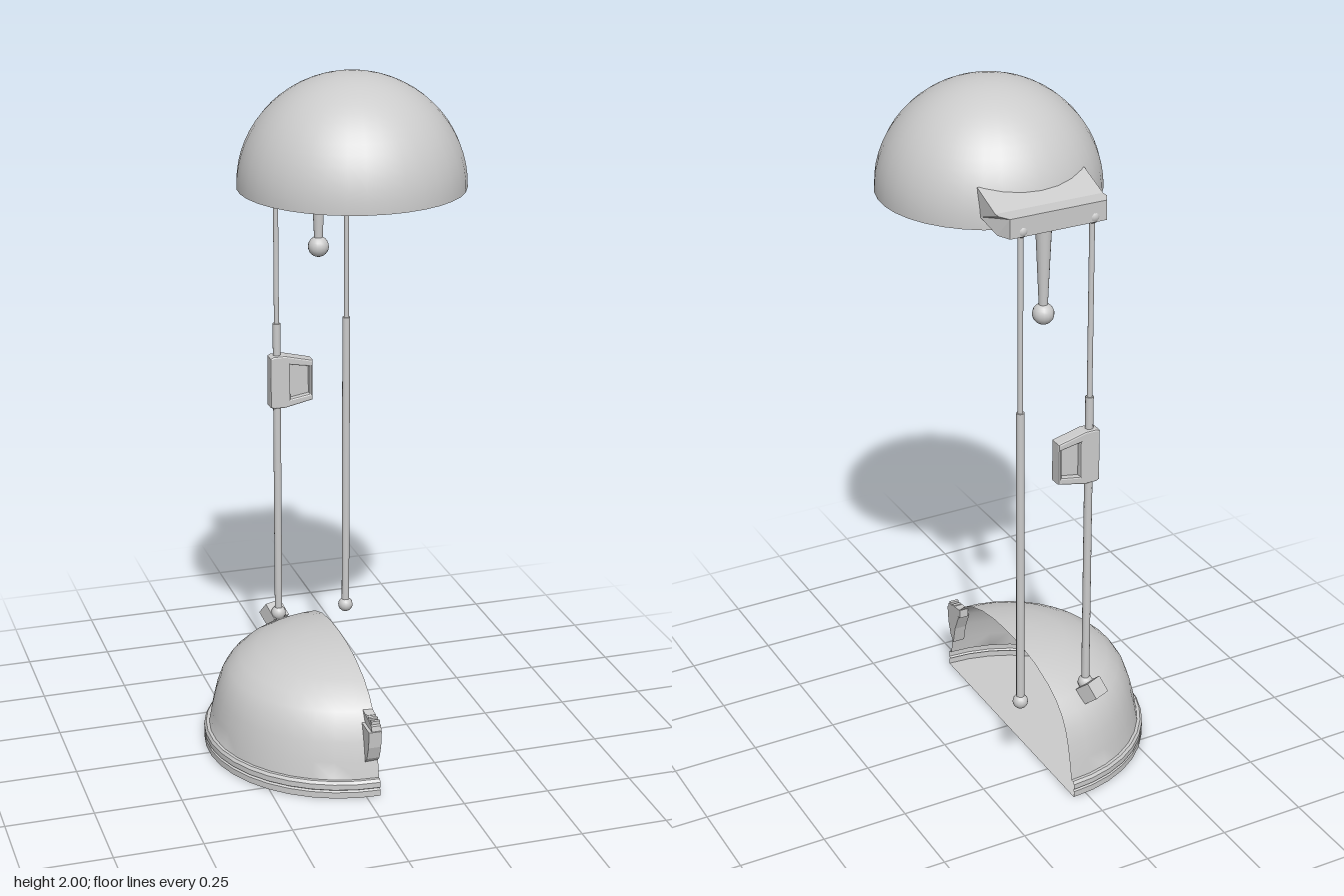
import * as THREE from 'three';
import { toCreasedNormals } from 'three/addons/utils/BufferGeometryUtils.js';

const AXIS = 0.04; // x of the lamp's centre line
const ROD_Z = -0.278;

export function createModel() {
  const model = new THREE.Group();
  const solid = new THREE.MeshStandardMaterial({ color: 0xcccccc });
  const shell = new THREE.MeshStandardMaterial({ color: 0xcccccc, side: THREE.DoubleSide });

  const add = (name, geometry, x = 0, y = 0, z = 0, material = solid) => {
    const mesh = new THREE.Mesh(geometry, material);
    mesh.name = name;
    mesh.position.set(x, y, z);
    model.add(mesh);
    return mesh;
  };
  const lathe = (pts, segments, start, length) => toCreasedNormals(
    new THREE.LatheGeometry(pts.map(p => new THREE.Vector2(...p)), segments, start, length), 0.5);
  const shapeOf = pts => new THREE.Shape(pts.map(p => new THREE.Vector2(...p)));
  // Extrude a (z, y) side profile along x, starting at x0
  const sideExtrude = (pts, x0, width) => {
    const g = new THREE.ExtrudeGeometry(shapeOf(pts.map(([z, y]) => [-z, y])), { depth: width, bevelEnabled: false });
    return g.rotateY(Math.PI / 2).translate(x0, 0, 0);
  };

  // Base: half shell with grooved rim and flat floor, open towards +x
  add('baseShell', lathe([
    [0, 0], [0.397, 0], [0.397, 0.018], [0.391, 0.022], [0.397, 0.026],
    [0.397, 0.042], [0.391, 0.05], [0.382, 0.05], [0.373, 0.10], [0.36, 0.155],
    [0.344, 0.2], [0.323, 0.233], [0.29, 0.264], [0.24, 0.292], [0.165, 0.317],
    [0.085, 0.33], [0, 0.333]], 19, Math.PI, Math.PI), AXIS, 0, -0.009, shell);

  // Switch on the front of the base, with a ribbed top
  add('switchBody', sideExtrude([
    [0.32, 0.205], [0.345, 0.15], [0.358, 0.095], [0.376, 0.115],
    [0.39, 0.155], [0.395, 0.205]], 0.003, AXIS - 0.003));
  add('switchCap', sideExtrude([
    [0.31, 0.208], [0.392, 0.2], [0.388, 0.22], [0.35, 0.228], [0.31, 0.235]], 0.012, AXIS - 0.012));
  for (let i = 0; i < 3; i++) {
    add('switchRib', new THREE.BoxGeometry(0.026, 0.01, 0.01), AXIS - 0.013, 0.226, 0.335 + i * 0.02);
  }

  // Shade: hemisphere with an inner lip and a recessed flat disc
  const R = 0.31;
  const profile = [[0, 1.717], [0.267, 1.717], [0.273, 1.7], [0.303, 1.692], [R, 1.692]];
  for (let i = 0; i <= 16; i++) {
    const a = (i / 16) * Math.PI / 2;
    profile.push([R * Math.cos(a), 1.697 + 0.303 * Math.sin(a)]);
  }
  add('shade', lathe(profile, 36), AXIS, 0, 0.1, shell);

  // Bracket running into the back of the shade, rear corners cut
  const bracket = sideExtrude([
    [-0.295, 1.71], [-0.255, 1.71], [-0.16, 1.727], [-0.145, 1.803],
    [-0.245, 1.765], [-0.265, 1.765], [-0.295, 1.765]], -0.116, 0.316);
  const p = bracket.attributes.position;
  for (let i = 0; i < p.count; i++) {
    if (p.getZ(i) < -0.28) p.setX(i, p.getX(i) + (p.getX(i) < AXIS ? 0.016 : -0.016));
  }
  bracket.computeVertexNormals();
  add('shadeBracket', bracket);

  // Tapered handle with ball end
  add('handle', new THREE.CylinderGeometry(0.024, 0.012, 0.27, 16), AXIS, 1.595, -0.21);
  add('handleBall', new THREE.SphereGeometry(0.03, 16, 12), AXIS, 1.44, -0.21);

  // Two telescopic rods with ball joints
  for (const x of [-0.066, 0.145]) {
    add('upperRod', new THREE.CylinderGeometry(0.0075, 0.0075, 0.53, 12), x, 1.46, ROD_Z);
    add('lowerRod', new THREE.CylinderGeometry(0.0115, 0.0115, 0.91, 12), x, 0.745, ROD_Z);
    add('topJoint', new THREE.SphereGeometry(0.021, 14, 10), x, 1.723, ROD_Z);
    add('bottomJoint', new THREE.SphereGeometry(0.022, 14, 10), x, 0.287, ROD_Z);
  }

  // Tilted block fixing the rod to the base
  const block = add('rodMount', new THREE.BoxGeometry(0.055, 0.05, 0.055), -0.072, 0.272, -0.307);
  block.rotation.set(0.7, 0.4, 0, 'YXZ');

  // Sliding grip on the rod: tapered frame with a pocket on both faces
  const grip = shapeOf([[-0.09, 0.95], [-0.08, 0.945], [-0.045, 0.945], [0.038, 0.963],
    [0.038, 1.085], [-0.045, 1.105], [-0.08, 1.105], [-0.09, 1.1]]);
  const pocket = [[-0.03, 0.972], [-0.03, 1.076], [0.028, 1.066], [0.028, 0.982]];
  grip.holes.push(new THREE.Path(pocket.map(q => new THREE.Vector2(...q))));
  add('gripFrame', new THREE.ExtrudeGeometry(grip, {
    depth: 0.03, bevelThickness: 0.006, bevelSize: 0.005, bevelOffset: -0.005, bevelSegments: 2,
  }), 0, 0, ROD_Z - 0.015);
  add('gripWeb', new THREE.BoxGeometry(0.065, 0.11, 0.008), 0, 1.024, ROD_Z);

  return model;
}
